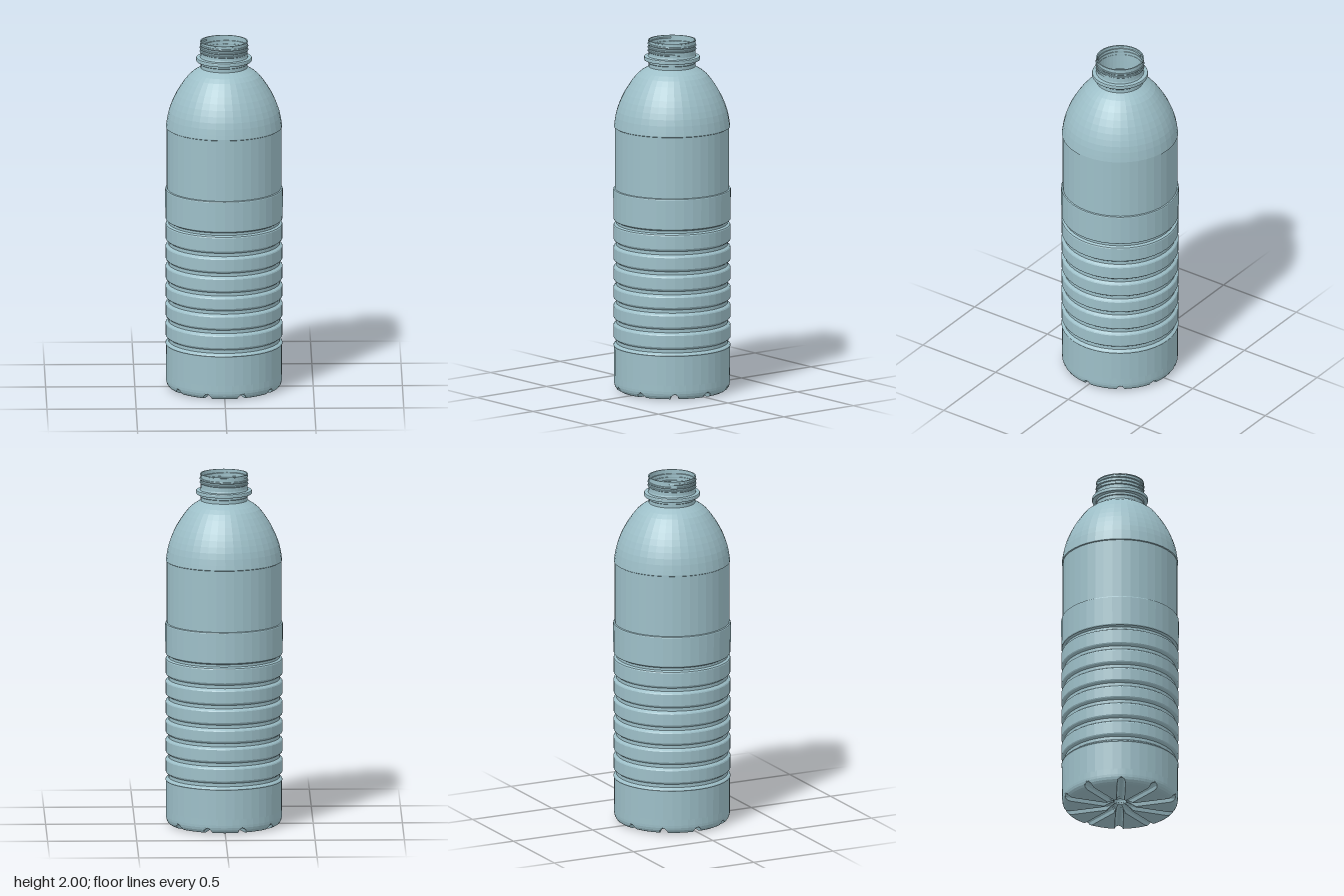
import * as THREE from 'three';

const material = new THREE.MeshStandardMaterial({
  color: 0x9dbfc8, flatShading: true, side: THREE.DoubleSide,
});
const SIDES = 40;

function part(name, geometry, parent) {
  const mesh = new THREE.Mesh(geometry, material);
  mesh.name = name;
  parent.add(mesh);
  return mesh;
}

function lathe(points, sides = SIDES) {
  return new THREE.LatheGeometry(points.map(([r, y]) => new THREE.Vector2(r, y)), sides);
}

// Ribbed wall, label panel and domed shoulder
function bodyProfile() {
  const points = [[0.325, 0.08], [0.326, 0.25]];
  for (const y of [0.28, 0.395, 0.507, 0.612, 0.725, 0.84, 0.96]) {
    const h = y > 0.9 ? 0.014 : 0.019;
    points.push([0.329, y - h - 0.006], [0.326, y - h], [0.313, y - h * 0.5],
      [0.313, y + h * 0.5], [0.326, y + h], [0.329, y + h + 0.006]);
  }
  points.push([0.33, 1.145], [0.328, 1.15], [0.321, 1.153], [0.321, 1.502], [0.326, 1.505]);
  const shoulder = new THREE.SplineCurve([
    [0.326, 1.51], [0.309, 1.6], [0.267, 1.7], [0.198, 1.8], [0.131, 1.848],
  ].map(([x, y]) => new THREE.Vector2(x, y)));
  for (const p of shoulder.getPoints(12)) points.push([p.x, p.y]);
  return points;
}

// Base made of rings, with half-round channels pressed in along ten spokes
function baseGeometry() {
  const rings = [[0.035, 0.04], [0.036, 0], [0.06, 0], [0.09, 0], [0.15, 0], [0.22, 0], [0.285, 0],
    [0.3, 0.003], [0.312, 0.01], [0.32, 0.022], [0.324, 0.036], [0.325, 0.05], [0.325, 0.085]];
  const spokes = 10, halfWidth = 0.023, steps = [-1, -0.8, -0.4, 0, 0.4, 0.8, 1];
  const sector = (Math.PI * 2) / spokes;
  const positions = [], index = [];
  for (const [r, y] of rings) {
    const edge = Math.min(Math.asin(Math.min(1, halfWidth / r)), sector * 0.47);
    for (let s = 0; s < spokes; s++) {
      const offsets = steps.map((t) => t * edge);
      for (const f of [0.25, 0.5, 0.75]) offsets.push(edge + (sector - 2 * edge) * f);
      for (const a of offsets) {
        const d = r * Math.sin(Math.min(a, sector - a));
        const channel = 1.4 * Math.sqrt(Math.max(0, halfWidth ** 2 - d * d));
        const angle = s * sector + a;
        positions.push(r * Math.cos(angle), Math.max(y, channel), r * Math.sin(angle));
      }
    }
  }
  const n = spokes * (steps.length + 3);
  for (let i = 0; i < rings.length - 1; i++) {
    for (let j = 0; j < n; j++) {
      const k = (j + 1) % n;
      const a = i * n + j, b = a + n, c = (i + 1) * n + k, d = i * n + k;
      index.push(a, b, c, a, c, d);
    }
  }
  const geometry = new THREE.BufferGeometry();
  geometry.setAttribute('position', new THREE.Float32BufferAttribute(positions, 3));
  geometry.setIndex(index);
  geometry.computeVertexNormals();
  return geometry;
}

// Screw thread winding around the neck
class Helix extends THREE.Curve {
  getPoint(t, target = new THREE.Vector3()) {
    const a = t * Math.PI * 2 * 2.6;
    const r = 0.131 - 0.006 * Math.max(0, Math.abs(t - 0.5) * 20 - 9);
    return target.set(r * Math.cos(a), 1.932 + 0.053 * t, r * Math.sin(a));
  }
}

export function createModel() {
  const bottle = new THREE.Group();
  bottle.name = 'bottle';

  part('body', lathe(bodyProfile()), bottle);
  part('base', baseGeometry(), bottle);

  // Inner floor with a small dome in the middle
  const floor = part('innerFloor', new THREE.RingGeometry(0.034, 0.323, SIDES), bottle);
  floor.rotation.x = -Math.PI / 2;
  floor.position.y = 0.04;
  const dome = part('floorDome',
    new THREE.SphereGeometry(0.035, 20, 6, 0, Math.PI * 2, 0, Math.PI / 2), bottle);
  dome.position.y = 0.04;

  // Open neck with support collar and rolled lip
  const neck = new THREE.Group();
  neck.name = 'neck';
  bottle.add(neck);
  part('neckWall', lathe([
    [0.131, 1.845], [0.131, 1.868], [0.134, 1.871], [0.134, 1.884], [0.155, 1.886], [0.157, 1.89],
    [0.157, 1.902], [0.155, 1.906], [0.134, 1.908], [0.131, 1.918], [0.131, 1.994],
    [0.134, 1.995], [0.134, 2], [0.127, 2], [0.126, 1.9], [0.126, 1.85],
  ]), neck);
  part('thread', new THREE.TubeGeometry(new Helix(), 110, 0.006, 6, false), neck);

  return bottle;
}
